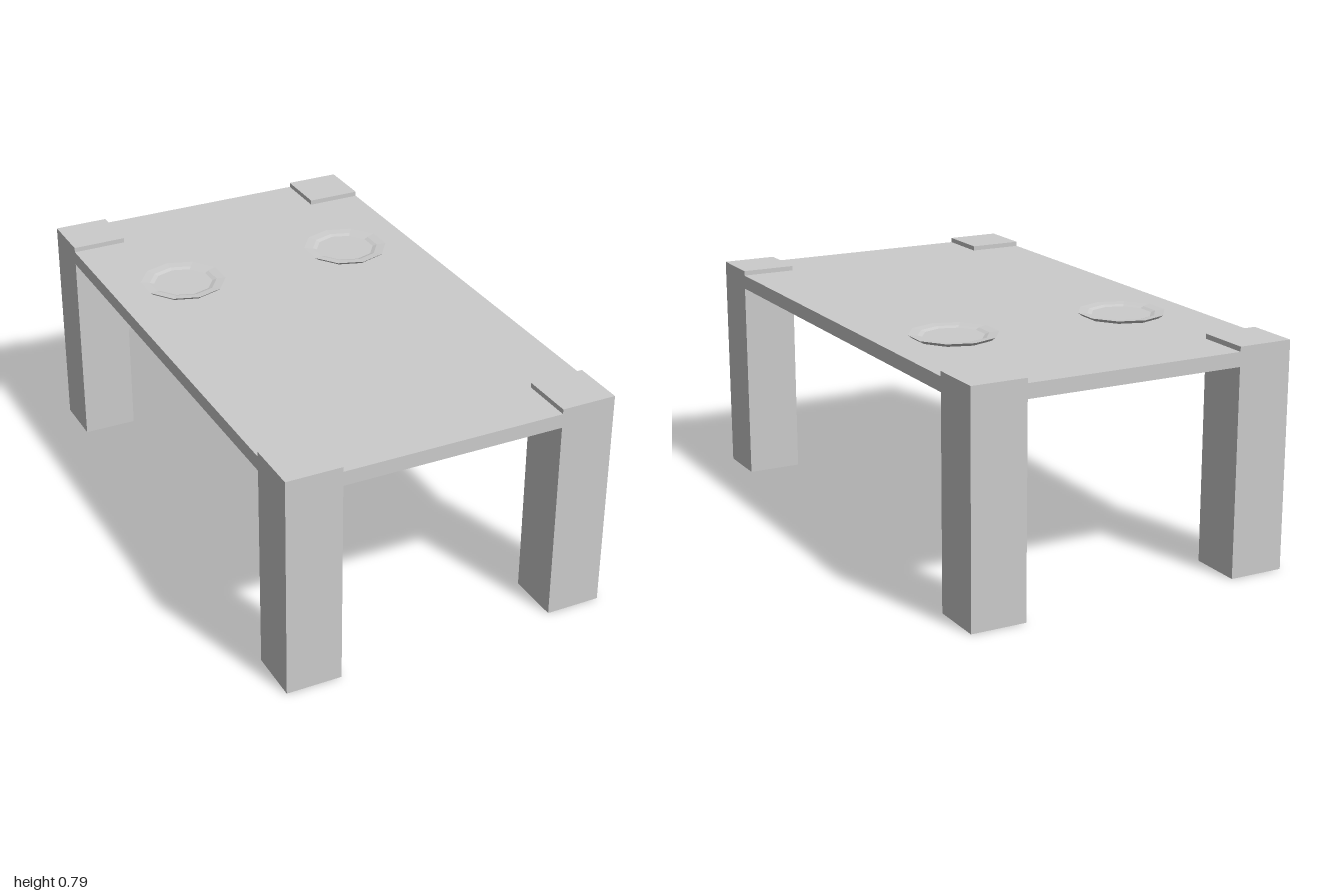
import * as THREE from 'three';

const X = 0.585, Z = 1;            // outer half sizes
const XI = 0.39, ZI = 0.807;       // inner leg faces
const UNDER = 0.725, DECK = 0.775, CAP = 0.792;

const material = new THREE.MeshStandardMaterial({
  color: 0xcccccc, flatShading: true, side: THREE.DoubleSide,
});

function addMesh(parent, name, geometry, x = 0, y = 0, z = 0) {
  const mesh = new THREE.Mesh(geometry, material);
  mesh.name = name;
  mesh.position.set(x, y, z);
  parent.add(mesh);
  return mesh;
}

// Upright panel of a given width between two heights, facing the given yaw
function wall(parent, name, x, z, width, y0, y1, yaw) {
  const mesh = addMesh(parent, name, new THREE.PlaneGeometry(width, y1 - y0), x, (y0 + y1) / 2, z);
  mesh.rotation.y = yaw;
}

// Level panel facing up
function deck(parent, name, x, y, z, width, depth) {
  addMesh(parent, name, new THREE.PlaneGeometry(width, depth).rotateX(-Math.PI / 2), x, y, z);
}

// Hollow leg, open at the foot and into the hollow tabletop
function makeLeg(sx, sz) {
  const leg = new THREE.Group();
  leg.name = 'leg';
  const w = X - XI, d = Z - ZI;
  const cx = sx * (X + XI) / 2, cz = sz * (Z + ZI) / 2;
  const yawX = sx * Math.PI / 2, yawZ = sz > 0 ? 0 : Math.PI;
  wall(leg, 'legOuterSide', sx * X, cz, d, 0, CAP, yawX);
  wall(leg, 'legOuterEnd', cx, sz * Z, w, 0, CAP, yawZ);
  // Inner faces skip the height of the tabletop
  for (const [y0, y1] of [[0, UNDER], [DECK, CAP]]) {
    wall(leg, 'legInnerSide', sx * XI, cz, d, y0, y1, -yawX);
    wall(leg, 'legInnerEnd', cx, sz * ZI, w, y0, y1, yawZ + Math.PI);
  }
  deck(leg, 'legCap', cx, CAP, cz, w, d);
  return leg;
}

// Shallow ten-sided plate with a sunken well
function makePlate() {
  const profile = [
    [0, 0.001], [0.137, 0.001], [0.153, 0.013], [0.12, 0.01], [0.105, 0.005], [0, 0.005],
  ].map(([r, y]) => new THREE.Vector2(r, y));
  return new THREE.LatheGeometry(profile, 10);
}

export function createModel() {
  const model = new THREE.Group();
  model.name = 'table';

  // Tabletop: cross-shaped deck with a skirt between the legs, open below
  const top = new THREE.Group();
  top.name = 'tabletop';
  deck(top, 'deckCentre', 0, DECK, 0, 2 * X, 2 * ZI);
  for (const s of [-1, 1]) {
    deck(top, 'deckEnd', 0, DECK, s * (Z + ZI) / 2, 2 * XI, Z - ZI);
    wall(top, 'endSkirt', 0, s * Z, 2 * XI, UNDER, DECK, s > 0 ? 0 : Math.PI);
    wall(top, 'sideSkirt', s * X, 0, 2 * ZI, UNDER, DECK, s * Math.PI / 2);
  }
  model.add(top);

  for (const sx of [-1, 1]) {
    for (const sz of [-1, 1]) model.add(makeLeg(sx, sz));
    addMesh(model, 'plate', makePlate(), sx * 0.325, DECK, -0.392);
  }
  return model;
}
